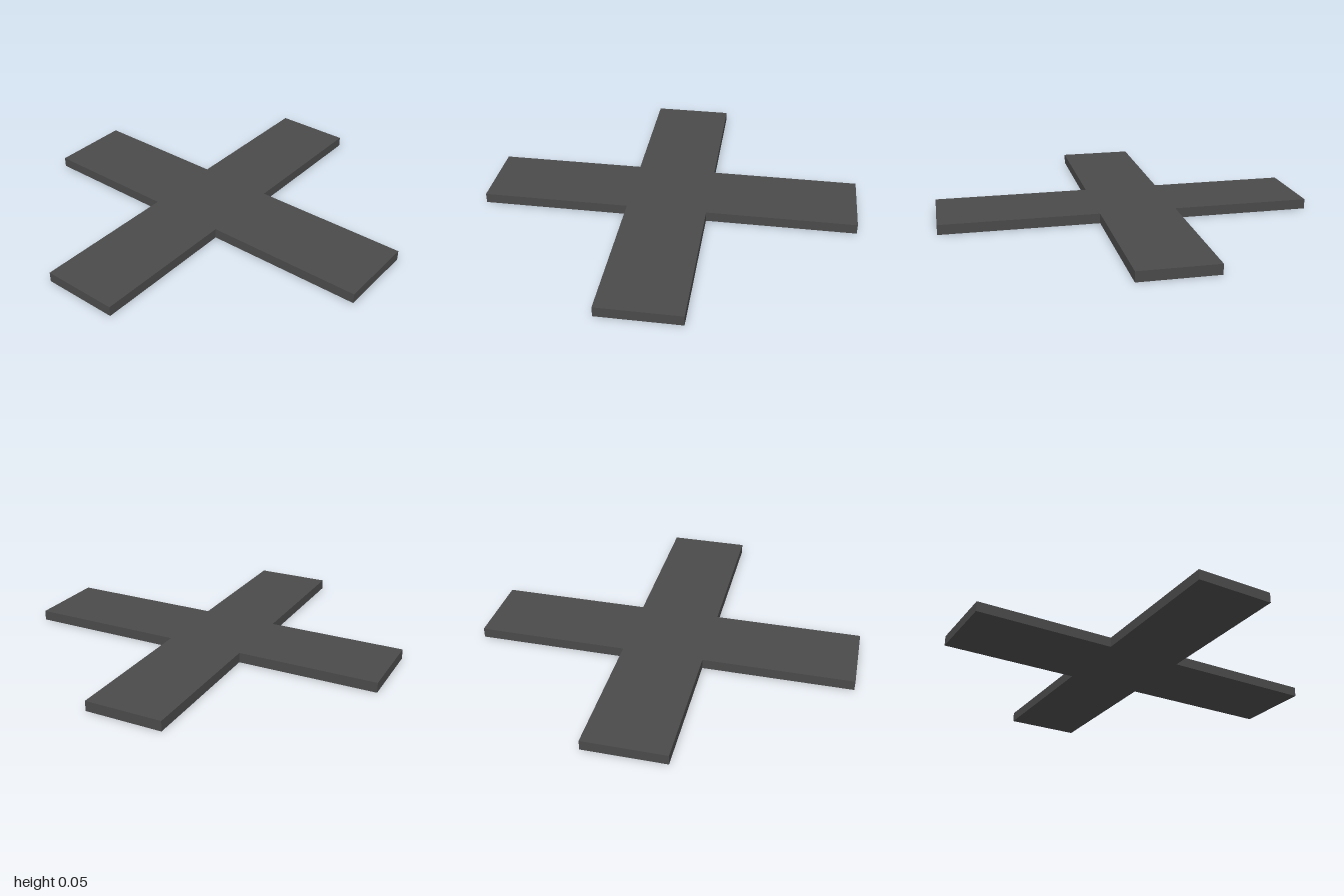
import * as THREE from 'three';

export function createModel() {
  const group = new THREE.Group();
  group.name = 'crossPlate';

  // Outer limits of the arms, and the edges of the two crossing bars
  const end = { left: -0.988, right: 0.988, back: 1, front: -1 };
  const bar = { left: -0.253, right: 0.153, back: 0.21, front: -0.217 };
  const thickness = 0.053;

  // Cross outline, counter-clockwise; shape y points to the back
  const outline = new THREE.Shape([
    [bar.left, end.front], [bar.right, end.front], [bar.right, bar.front],
    [end.right, bar.front], [end.right, bar.back], [bar.right, bar.back],
    [bar.right, end.back], [bar.left, end.back], [bar.left, bar.back],
    [end.left, bar.back], [end.left, bar.front], [bar.left, bar.front],
  ].map(([x, y]) => new THREE.Vector2(x, y)));

  // Flat plate lying on the ground
  const geometry = new THREE.ExtrudeGeometry(outline, { depth: thickness, bevelEnabled: false });
  geometry.rotateX(-Math.PI / 2);
  const plate = new THREE.Mesh(geometry, new THREE.MeshStandardMaterial({ color: 0x4a4a4a }));
  plate.name = 'plate';
  group.add(plate);

  return group;
}
